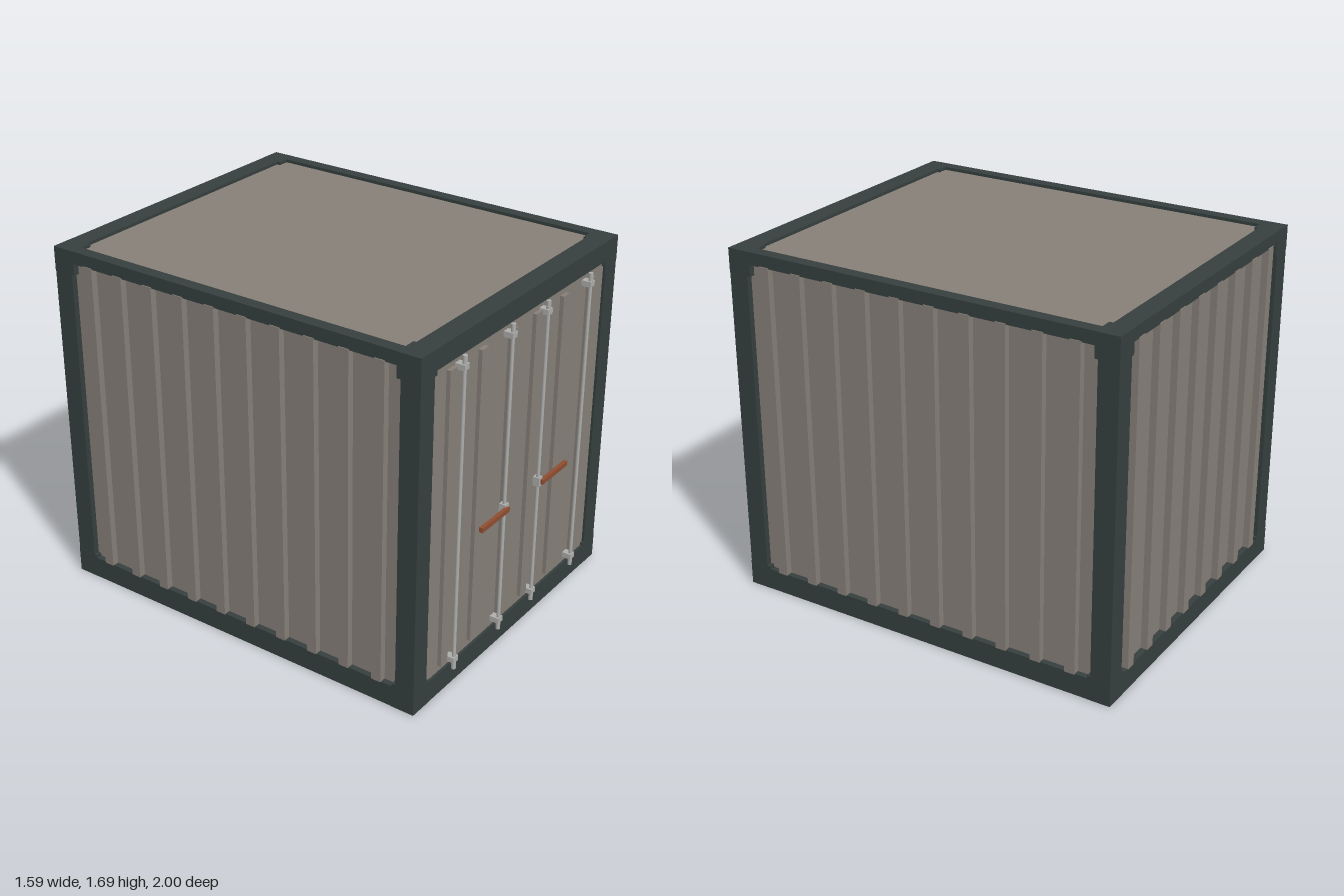
import * as THREE from 'three';

const mat = (name, color) => new THREE.MeshStandardMaterial({ name, color });

export function createModel() {
  const frameMat = mat('dark frame', 0x363f3f);
  const panelMat = mat('warm grey panel', 0x878079);
  const steelMat = mat('light steel', 0xaeafad);
  const handleMat = mat('rust handle', 0x8f4e31);

  const model = new THREE.Group();
  model.name = 'shippingContainer';
  const group = (name) => {
    const g = new THREE.Group();
    g.name = name;
    model.add(g);
    return g;
  };
  // Box given by its lower and upper corners
  const box = (parent, name, m, [x0, y0, z0], [x1, y1, z1]) => {
    const mesh = new THREE.Mesh(new THREE.BoxGeometry(x1 - x0, y1 - y0, z1 - z0), m);
    mesh.position.set((x0 + x1) / 2, (y0 + y1) / 2, (z0 + z1) / 2);
    mesh.name = name;
    parent.add(mesh);
    return mesh;
  };

  const X = 0.793, H = 1.69, ZF = 0.95, ZB = -0.997;

  // Frame: posts, corner blocks and rails
  const frame = group('frame');
  for (const s of [-1, 1]) {
    const span = (a, b) => (s > 0 ? [a, b] : [-b, -a]);
    const [p0, p1] = span(0.695, X);
    box(frame, 'frontPost', frameMat, [p0, 0, 0.855], [p1, H, ZF]);
    box(frame, 'rearPost', frameMat, [p0, 0, ZB], [p1, H, -0.9]);
    const [c0, c1] = span(0.68, X + 0.001);
    for (const [y0, y1] of [[-0.0, 0.12], [1.575, H]]) {
      box(frame, 'frontCornerBlock', frameMat, [c0, y0, 0.837], [c1, y1, ZF + 0.001]);
      box(frame, 'rearCornerBlock', frameMat, [c0, y0, ZB - 0.001], [c1, y1, -0.885]);
    }
    const [t0, t1] = span(0.735, X);
    box(frame, 'topSideRail', frameMat, [t0, 1.63, -0.9], [t1, H, 0.855]);
    const [b0, b1] = span(0.69, X);
    box(frame, 'bottomSideRail', frameMat, [b0, 0, -0.9], [b1, 0.105, 0.855]);
  }
  box(frame, 'doorHeader', frameMat, [-0.7, 1.595, 0.85], [0.7, H, ZF]);
  box(frame, 'doorSill', frameMat, [-0.7, 0, 0.85], [0.7, 0.105, ZF]);
  box(frame, 'rearTopRail', frameMat, [-0.735, 1.63, ZB], [0.735, H, -0.903]);
  box(frame, 'rearBottomRail', frameMat, [-0.7, 0, ZB], [0.7, 0.105, -0.9]);

  // Roof and floor
  box(model, 'roof', panelMat, [-0.76, 1.64, -0.95], [0.76, 1.675, 0.9]);
  box(model, 'floor', panelMat, [-0.72, 0.098, -0.93], [0.72, 0.12, 0.88]);

  // Side walls with upright ribs standing just proud of the frame
  for (const s of [-1, 1]) {
    const wall = group(s > 0 ? 'leftWall' : 'rightWall');
    const span = (a, b) => (s > 0 ? [a, b] : [-b, -a]);
    const [w0, w1] = span(0.74, 0.765);
    box(wall, 'wallPanel', panelMat, [w0, 0.1, -0.92], [w1, 1.64, 0.87]);
    const [r0, r1] = span(0.76, 0.797);
    for (let i = 0; i < 10; i++) {
      const z = 0.757 - i * 0.173;
      box(wall, 'wallRib', panelMat, [r0, 0.103, z - 0.025], [r1, 1.635, z + 0.025]);
    }
  }

  // Rear wall
  const rear = group('rearWall');
  box(rear, 'rearPanel', panelMat, [-0.71, 0.1, -0.968], [0.71, 1.64, -0.943]);
  for (let i = 0; i < 8; i++) {
    const x = (i - 3.5) * 0.176;
    box(rear, 'rearRib', panelMat, [x - 0.025, 0.103, -1], [x + 0.025, 1.635, -0.965]);
  }

  // Doors with raised ribs, locking rods and handles
  for (const s of [-1, 1]) {
    const door = group(s > 0 ? 'leftDoor' : 'rightDoor');
    const span = (a, b) => (s > 0 ? [a, b] : [-b, -a]);
    const [d0, d1] = span(0, 0.705);
    box(door, 'doorPanel', panelMat, [d0, 0.1, 0.9], [d1, 1.6, 0.938]);
    for (const x of [0.1, 0.332, 0.568]) {
      const [r0, r1] = span(x - 0.025, x + 0.025);
      box(door, 'doorRib', panelMat, [r0, 0.14, 0.93], [r1, 1.56, 0.957]);
    }
    for (const x of [0.145, 0.515]) {
      const rod = new THREE.Mesh(new THREE.CylinderGeometry(0.0085, 0.0085, 1.5, 10), steelMat);
      rod.name = 'lockingRod';
      rod.position.set(s * x, 0.8475, 0.973);
      door.add(rod);
      for (const [y, out] of [[0.145, -1], [1.555, 1]]) {
        const [k0, k1] = span(x - 0.018, x + 0.018);
        box(door, 'rodBracket', steelMat, [k0, y - 0.013, 0.935], [k1, y + 0.013, 0.984]);
        const cam = new THREE.Mesh(new THREE.CylinderGeometry(0.0105, 0.0105, 0.055, 10), steelMat);
        cam.name = 'rodCam';
        cam.position.set(s * x, y + out * 0.023, 0.973);
        door.add(cam);
      }
    }
    const [h0, h1] = span(0.13, 0.16);
    box(door, 'handleHub', steelMat, [h0, 0.705, 0.955], [h1, 0.75, 0.988]);
    const [a0, a1] = span(0.142, 0.364);
    box(door, 'handle', handleMat, [a0, 0.716, 0.982], [a1, 0.739, 1]);
  }
  return model;
}
